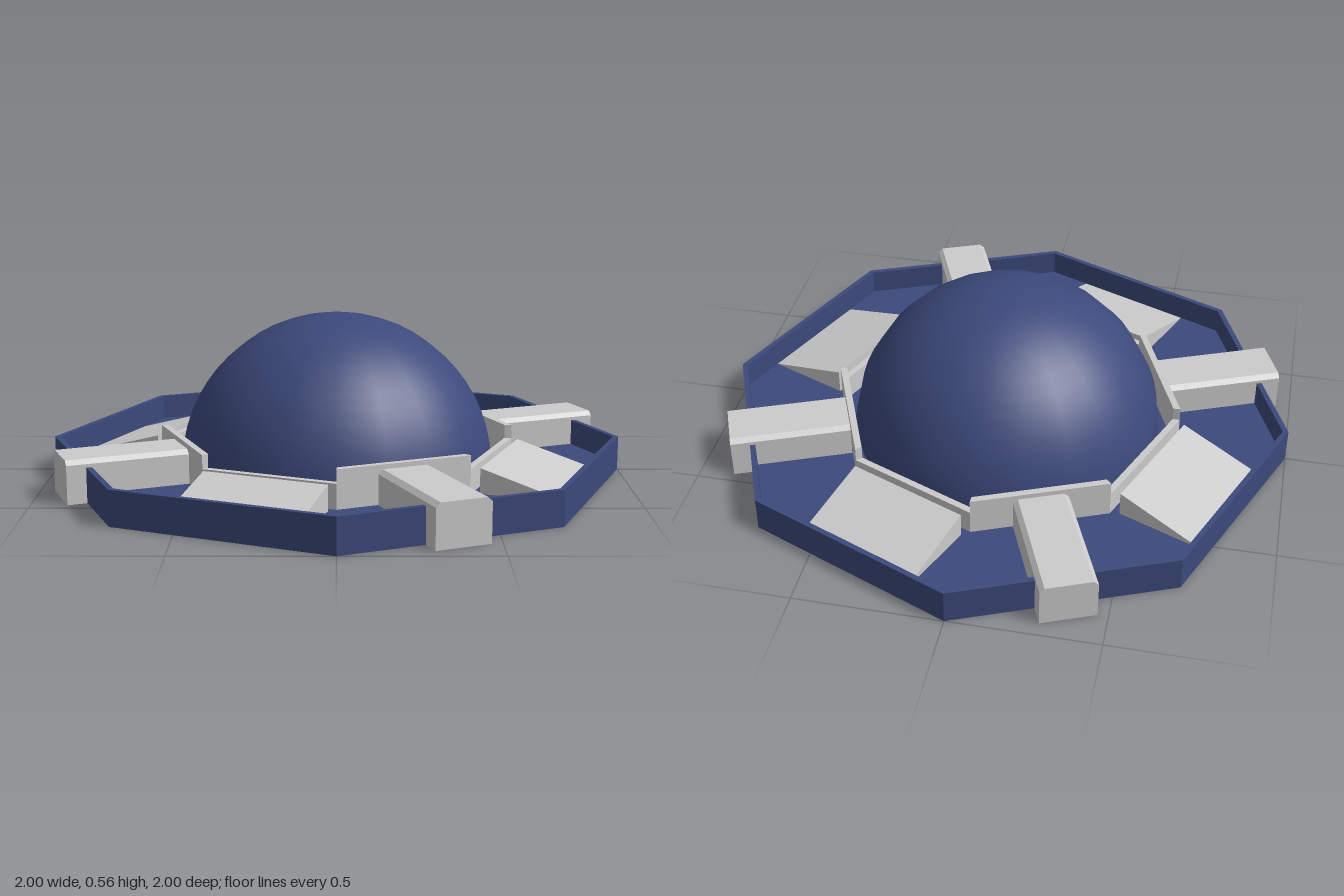
import * as THREE from 'three';

const grey = new THREE.MeshStandardMaterial({ color: 0xcccccc, flatShading: true, side: THREE.DoubleSide });
const navy = new THREE.MeshStandardMaterial({ color: 0x3c497b, flatShading: true, side: THREE.DoubleSide });
const navySmooth = new THREE.MeshStandardMaterial({ color: 0x3c497b });

const FLOOR = 0.03, INNER = 0.6, RIM_IN = 0.905;

function named(geometry, material, name) {
  const mesh = new THREE.Mesh(geometry, material);
  mesh.name = name;
  return mesh;
}

// Flat-faced geometry from convex polygons, each a list of [x, y, z]
function faces(polygons) {
  const pos = [];
  for (const p of polygons)
    for (let i = 1; i < p.length - 1; i++) pos.push(...p[0], ...p[i], ...p[i + 1]);
  const g = new THREE.BufferGeometry();
  g.setAttribute('position', new THREE.Float32BufferAttribute(pos, 3));
  g.computeVertexNormals();
  return g;
}

function octagon(radius) {
  return Array.from({ length: 8 }, (_, i) =>
    new THREE.Vector2(radius * Math.cos(i * Math.PI / 4), radius * Math.sin(i * Math.PI / 4)));
}

// Rectangle in plan, pointing outward at an angle
function rectangle(r0, r1, half, angle) {
  return [[r0, -half], [r1, -half], [r1, half], [r0, half]].map(([x, y]) =>
    new THREE.Vector2(x, y).rotateAround(new THREE.Vector2(), angle));
}

// Sloped housing, open underneath: high inside, meeting the floor at the rim
function wedgeGeometry() {
  const w = 0.22, h = 0.117;
  const polys = [
    [[INNER, h, -w], [INNER, h, w], [RIM_IN, FLOOR, w], [RIM_IN, FLOOR, -w]],
    [[INNER, FLOOR, -w], [INNER, FLOOR, w], [INNER, h, w], [INNER, h, -w]],
    [[INNER, FLOOR, w], [RIM_IN, FLOOR, w], [INNER, h, w]],
    [[INNER, FLOOR, -w], [INNER, h, -w], [RIM_IN, FLOOR, -w]],
  ];
  return faces(polys);
}

// Chamfered channel over the rim, open underneath, closed at its outer end
function armGeometry() {
  const w = 0.094, r0 = 0.575, r1 = 0.99, top = 0.147, shoulder = 0.132, c = 0.016;
  const section = [[w, 0], [w, shoulder], [w - c, top], [c - w, top], [-w, shoulder], [-w, 0]];
  const polys = [section.map(([z, y]) => [r1, y, z])];
  for (let i = 1; i < 4; i++) {
    const [za, ya] = section[i], [zb, yb] = section[i + 1];
    polys.push([[r0, ya, za], [r1, ya, za], [r1, yb, zb], [r0, yb, zb]]);
  }
  // Side walls: down to the floor inside the rim, down to the ground outside
  polys.push(
    [[r0, FLOOR, w], [RIM_IN, FLOOR, w], [RIM_IN, shoulder, w], [r0, shoulder, w]],
    [[RIM_IN, 0, w], [r1, 0, w], [r1, shoulder, w], [RIM_IN, shoulder, w]],
    [[r0, FLOOR, -w], [r0, shoulder, -w], [RIM_IN, shoulder, -w], [RIM_IN, FLOOR, -w]],
    [[RIM_IN, 0, -w], [RIM_IN, shoulder, -w], [r1, shoulder, -w], [r1, 0, -w]],
  );
  return faces(polys);
}

// One mitred side of the octagonal collar, facing +x
function collarGeometry(height) {
  const t = Math.tan(Math.PI / 8), a = 0.55, b = 0.573;
  const shape = new THREE.Shape([[a, -a * t], [b, -b * t], [b, b * t], [a, a * t]].map(p => new THREE.Vector2(...p)));
  return new THREE.ExtrudeGeometry(shape, { depth: height - FLOOR, bevelEnabled: false })
    .rotateX(-Math.PI / 2).translate(0, FLOOR, 0);
}

export function createModel() {
  const model = new THREE.Group();
  model.name = 'domedBase';

  // Outer rim wall
  const rimShape = new THREE.Shape(octagon(1));
  rimShape.holes.push(new THREE.Path(octagon(0.98)));
  model.add(named(new THREE.ExtrudeGeometry(rimShape, { depth: 0.12, bevelEnabled: false }).rotateX(-Math.PI / 2), navy, 'rim'));

  const floorShape = new THREE.Shape(octagon(0.985));
  const wedgeGeo = wedgeGeometry(), armGeo = armGeometry();
  const tall = collarGeometry(0.162), low = collarGeometry(0.115);

  // Eight sectors alternate between wedge and arm
  for (let i = 0; i < 8; i++) {
    const angle = (i + 0.5) * Math.PI / 4;
    const isArm = i % 2 === 1;
    const sector = new THREE.Group();
    sector.name = isArm ? 'armSector' : 'wedgeSector';
    sector.rotation.y = -angle;
    sector.add(named(isArm ? armGeo : wedgeGeo, grey, isArm ? 'arm' : 'wedge'));
    sector.add(named(isArm ? tall : low, grey, 'collarPanel'));
    model.add(sector);
    // Matching opening in the floor
    floorShape.holes.push(new THREE.Path(isArm
      ? rectangle(INNER, RIM_IN - 0.002, 0.094, angle)
      : rectangle(INNER, RIM_IN - 0.002, 0.22, angle)));
  }

  // Recessed floor
  model.add(named(new THREE.ShapeGeometry(floorShape).rotateX(Math.PI / 2).translate(0, FLOOR, 0), navy, 'floor'));

  // Dome
  const dome = named(new THREE.SphereGeometry(0.55, 20, 14, 0, Math.PI * 2, 0, Math.PI * 0.486), navySmooth, 'dome');
  dome.position.y = 0.012;
  model.add(dome);

  return model;
}
